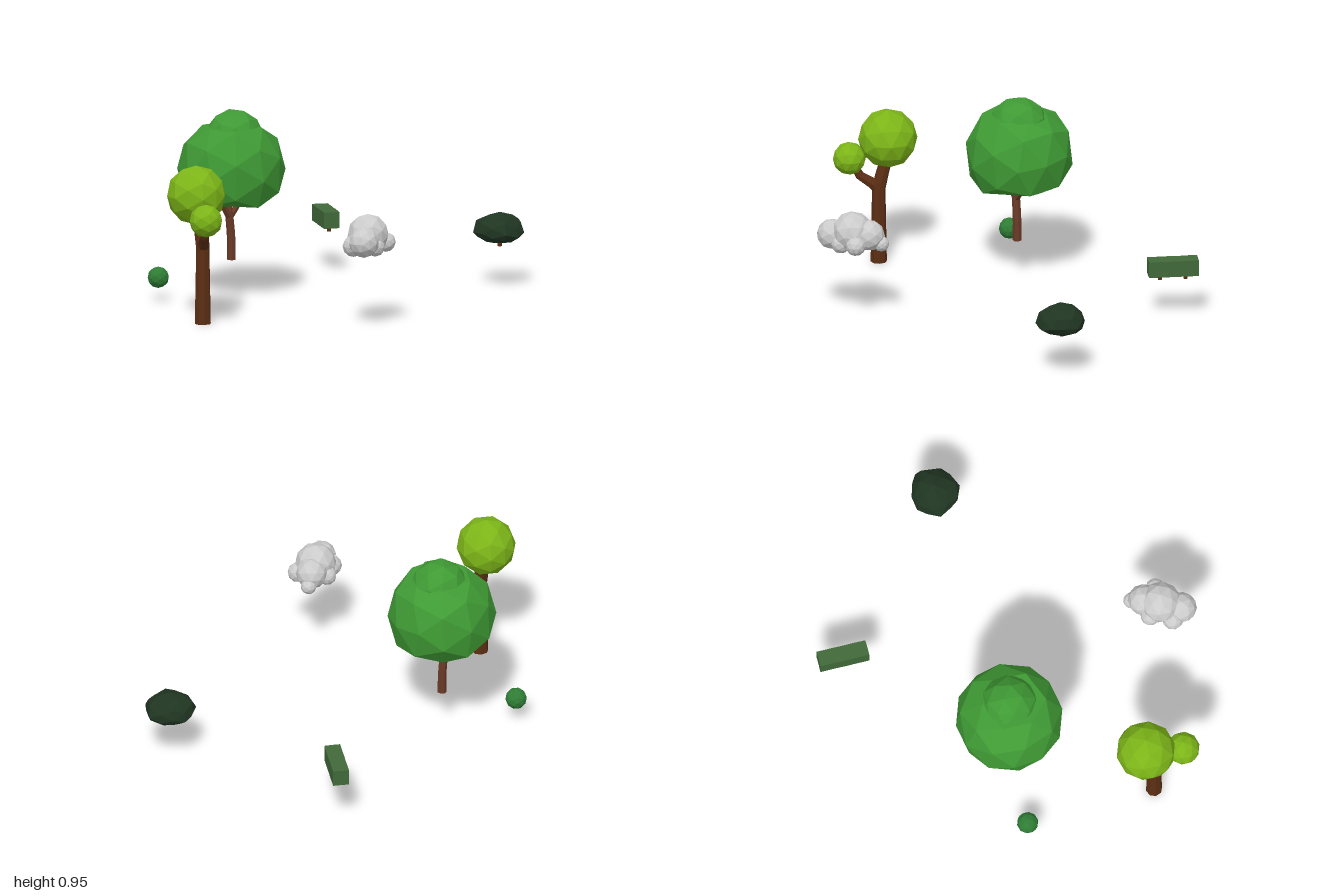
import * as THREE from 'three';
import { mergeGeometries } from 'three/addons/utils/BufferGeometryUtils.js';

const mat = (color) => new THREE.MeshStandardMaterial({ color, flatShading: true });
const V = (x, y, z) => new THREE.Vector3(x, y, z);
const LIME = mat(0x7cb518), GREEN = mat(0x3f9a34), BALL = mat(0x2f7d35), DARK = mat(0x203522);
const HEDGE = mat(0x41693a), BARK = mat(0x5c2e14), BARK2 = mat(0x6a3a26), GREY = mat(0xcccccc);

function add(parent, name, geometry, material) {
  const mesh = new THREE.Mesh(geometry, material);
  mesh.name = name;
  parent.add(mesh);
  return mesh;
}

function part(root, name) {
  const group = new THREE.Group();
  group.name = name;
  root.add(group);
  return group;
}

// low-poly ball
function ball(parent, name, [x, y, z, r], material) {
  const mesh = add(parent, name, new THREE.IcosahedronGeometry(r, 1), material);
  mesh.position.set(x, y, z);
  return mesh;
}

// move every vertex by a rule
function reshape(geometry, rule) {
  const pos = geometry.attributes.position, v = V(0, 0, 0);
  for (let i = 0; i < pos.count; i++) {
    v.fromBufferAttribute(pos, i);
    rule(v);
    pos.setXYZ(i, v.x, v.y, v.z);
  }
  geometry.computeVertexNormals();
  return geometry;
}

// repeatable 0..1 value from a position, so coincident corners stay together
function noise(v, scale) {
  const [a, b, c] = v.toArray().map((n) => Math.round(n * scale));
  const s = Math.sin(a * 12.99 + b * 78.23 + c * 37.72) * 43758.55;
  return s - Math.floor(s);
}

// tapering branch along a curve, closed at its foot
function limb(points, r0, r1, sides = 8) {
  const curve = new THREE.CatmullRomCurve3(points), n = 5;
  const tube = new THREE.TubeGeometry(curve, n, 1, sides);
  const pos = tube.attributes.position, v = V(0, 0, 0);
  for (let i = 0; i < pos.count; i++) {
    const t = Math.floor(i / (sides + 1)) / n, c = curve.getPointAt(t);
    v.fromBufferAttribute(pos, i).sub(c).multiplyScalar(r0 + (r1 - r0) * t).add(c);
    pos.setXYZ(i, v.x, v.y, v.z);
  }
  const foot = new THREE.CircleGeometry(r0, sides);
  foot.applyQuaternion(new THREE.Quaternion().setFromUnitVectors(V(0, 0, 1), curve.getTangentAt(0).negate()));
  foot.translate(...points[0].toArray());
  return mergeGeometries([tube, foot]);
}

export function createModel() {
  const root = new THREE.Group();
  root.name = 'plantsAndCloud';

  // tall tree with two round crowns
  const tall = part(root, 'limeTree');
  add(tall, 'trunk', limb([V(-0.83, 0, 0.535), V(-0.83, 0.2, 0.535), V(-0.83, 0.42, 0.535)], 0.041, 0.033), BARK);
  add(tall, 'mainBranch', limb([V(-0.83, 0.39, 0.535), V(-0.835, 0.45, 0.52), V(-0.845, 0.56, 0.49)], 0.035, 0.03), BARK);
  add(tall, 'sideBranch', limb([V(-0.83, 0.39, 0.54), V(-0.835, 0.425, 0.58), V(-0.845, 0.45, 0.625), V(-0.85, 0.52, 0.66)], 0.03, 0.018), BARK);
  ball(tall, 'largeCrown', [-0.852, 0.643, 0.487, 0.149], LIME);
  ball(tall, 'smallCrown', [-0.85, 0.545, 0.68, 0.083], LIME);

  // broad tree with a flattened, lumpy crown
  const broad = part(root, 'broadTree');
  add(broad, 'trunk', limb([V(-0.52, 0.195, -0.12), V(-0.52, 0.3, -0.12), V(-0.533, 0.44, -0.115)], 0.023, 0.021, 7), BARK2);
  const branchTips = [[-0.6, -0.07], [-0.44, -0.16], [-0.53, -0.13]];
  for (const [x, z] of branchTips)
    add(broad, 'branch', limb([V(-0.531, 0.41, -0.116), V((x - 0.531) / 2, 0.465, (z - 0.116) / 2), V(x, 0.53, z)], 0.018, 0.011, 6), BARK2);
  const crown = new THREE.IcosahedronGeometry(0.29, 1).rotateY(0.4).rotateX(0.12);
  reshape(crown, (v) => v.set(v.x * 0.935, THREE.MathUtils.clamp(v.y, -0.17, 0.215), v.z * 0.935));
  add(broad, 'crown', crown, GREEN).position.set(-0.518, 0.655, -0.13);
  const lump = ball(broad, 'crownTop', [-0.505, 0.805, -0.125, 0.15], GREEN);
  lump.rotation.set(0.3, 0.5, 0.2);

  // small round shrub
  ball(root, 'roundShrub', [-0.893, 0.12, -0.13, 0.054], BALL);

  // squat dark bush
  const bush = part(root, 'darkBush');
  const leaves = reshape(new THREE.IcosahedronGeometry(1, 1), (v) => {
    const k = 0.9 + 0.2 * noise(v, 50);
    v.set(v.x * 0.126 * k, v.y * (v.y > 0 ? 0.098 * k : 0.06), v.z * 0.124 * k);
  });
  add(bush, 'leaves', leaves, DARK).position.set(0.868, 0.27, -0.165);
  add(bush, 'stem', new THREE.CylinderGeometry(0.012, 0.012, 0.05, 6), BARK).position.set(0.868, 0.22, -0.165);

  // trimmed hedge on two stems
  const hedge = part(root, 'hedge');
  const block = reshape(new THREE.BoxGeometry(0.08, 0.082, 0.25, 2, 2, 6), (v) => {
    v.multiplyScalar(0.99 + 0.025 * noise(v, 200));
  });
  add(hedge, 'leaves', block, HEDGE).position.set(0.138, 0.263, -0.817);
  for (const z of [-0.752, -0.88])
    add(hedge, 'stem', new THREE.CylinderGeometry(0.01, 0.01, 0.04, 6), BARK).position.set(0.138, 0.217, z);

  // cloud of overlapping puffs: x, y, z, radius
  const cloud = part(root, 'cloud');
  const puffs = [
    [-0.04, 0.457, 0.768, 0.104], [-0.085, 0.435, 0.865, 0.077], [-0.005, 0.448, 0.69, 0.079],
    [0.02, 0.41, 0.632, 0.04], [0.052, 0.415, 0.765, 0.05], [-0.125, 0.41, 0.81, 0.055],
    [-0.085, 0.42, 0.705, 0.05], [-0.02, 0.405, 0.83, 0.05],
  ];
  puffs.forEach((p, i) => { ball(cloud, 'puff', p, GREY).rotation.y = i * 0.7; });

  return root;
}
